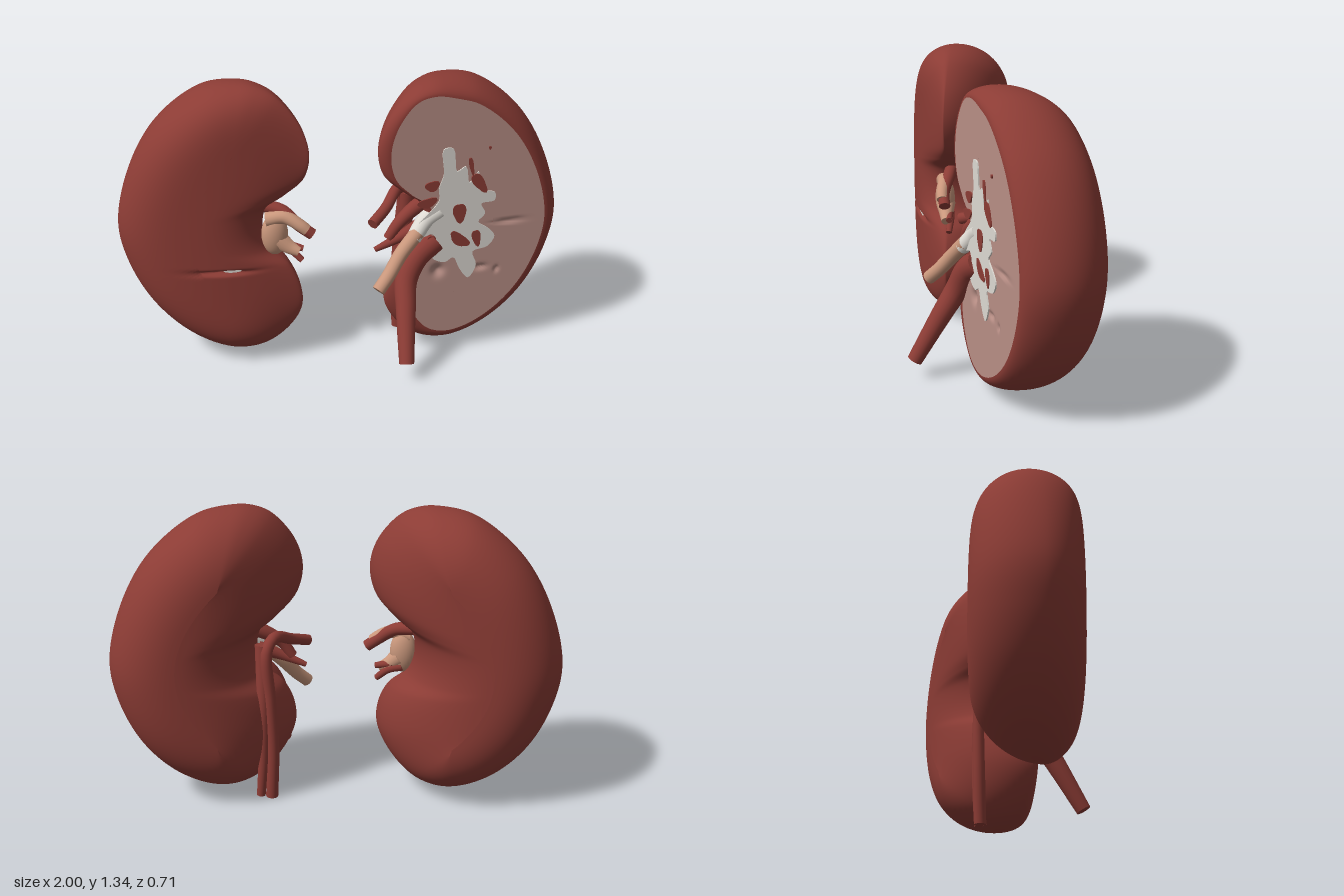
import * as THREE from 'three';

const { smoothstep } = THREE.MathUtils;
const mat = (name, color, side = THREE.FrontSide) => {
  const m = new THREE.MeshStandardMaterial({ color, side });
  m.name = name;
  return m;
};

// kidney outline (x, y), clockwise from the top, for the +x side
const OUTLINE = [
  [0.44, 1.34], [0.6, 1.31], [0.8, 1.155], [0.93, 0.94], [1.0, 0.67], [0.97, 0.48], [0.88, 0.29],
  [0.75, 0.15], [0.6, 0.065], [0.47, 0.04], [0.35, 0.07], [0.25, 0.16], [0.19, 0.28], [0.195, 0.39],
  [0.24, 0.49], [0.325, 0.57], [0.355, 0.67], [0.335, 0.775], [0.25, 0.845], [0.175, 0.925],
  [0.15, 1.04], [0.185, 1.17], [0.28, 1.29], [0.36, 1.33]];
const CY = 0.67, SEG = 300;

// every rim point shrinks toward its own point on a curved spine
const rim = new THREE.CatmullRomCurve3(OUTLINE.map(([x, y]) => new THREE.Vector3(x, y, 0)), true)
  .getPoints(SEG).slice(0, SEG).map(({ x, y }) => {
    const sy = CY + 0.55 * (y - CY), sx = 0.68 - 1.4 * (sy - CY) ** 2;
    const cut = 0.765 + 0.125 * smoothstep(y, 0.4, 0.6) * (1 - smoothstep(x, 0.25, 0.55));
    return { x, y, sx, sy, cut };
  });

// depth rules
const midZ = x => -0.1 + 0.2 * ((1 - x) / 0.85) ** 2;
const cutZ = x => 0.152 - 0.11 * x;
const domeZ = x => (x > 0.5 ? 0.14 - 0.35 * (x - 0.5) ** 2 : 0.14 - 0.1 * (0.5 - x) ** 2);
const dent = (list, x, y) => list.reduce((sum, [cx, cy, rx, ry, d]) =>
  sum + d * Math.exp(-(((x - cx) / rx) ** 2) - ((y - cy) / ry) ** 2), 0);

// lofts shrunken copies of the outline; each ring is [scale rule, z rule]
function loft(rings, side) {
  const pos = [], index = [];
  rings.forEach(([scale, zRule]) => rim.forEach(p => {
    const s = scale(p), x = p.sx + (p.x - p.sx) * s, y = p.sy + (p.y - p.sy) * s;
    pos.push(side * x, y, zRule(x, y));
  }));
  for (let i = 0; i < rings.length - 1; i++) for (let j = 0; j < SEG; j++) {
    const k = (j + 1) % SEG;
    const a = i * SEG + j, b = i * SEG + k, c = b + SEG, d = a + SEG;
    if (side > 0) index.push(a, d, b, b, d, c);
    else index.push(a, b, d, b, c, d);
  }
  const g = new THREE.BufferGeometry();
  g.setAttribute('position', new THREE.Float32BufferAttribute(pos, 3));
  g.setIndex(index);
  g.computeVertexNormals();
  return g;
}

// rounded back, from the spine out to the rim
function backRings() {
  const rings = [];
  for (let i = 0; i <= 24; i++) {
    const a = i / 24 * Math.PI / 2;
    rings.push([() => Math.sin(a) ** 0.91, x => midZ(x) - 0.275 * Math.cos(a)]);
  }
  return rings;
}

export function createModel() {
  const model = new THREE.Group();
  const red = mat('kidney red', 0x8c3c35, THREE.DoubleSide);
  const pink = mat('cut flesh', 0xb98f86);
  const pale = mat('pelvis white', 0xdedad3, THREE.DoubleSide);
  const beige = mat('ureter beige', 0xc9977c, THREE.DoubleSide);

  const add = (parent, name, geometry, material) => {
    const m = new THREE.Mesh(geometry, material);
    m.name = name;
    parent.add(m);
    return m;
  };

  // tapered vessel with closed ends
  const vessel = (parent, name, pts, r0, r1, material) => {
    const curve = new THREE.CatmullRomCurve3(pts.map(p => new THREE.Vector3(...p)));
    const n = 40, sides = 18;
    const g = new THREE.TubeGeometry(curve, n, 1, sides);
    const v = new THREE.Vector3(), p = g.attributes.position;
    for (let i = 0; i < p.count; i++) {
      const t = Math.floor(i / (sides + 1)) / n, c = curve.getPointAt(t);
      v.fromBufferAttribute(p, i).sub(c).multiplyScalar(r0 + (r1 - r0) * t).add(c);
      p.setXYZ(i, v.x, v.y, v.z);
    }
    add(parent, name, g, material);
    [[0, r0, -1], [1, r1, 1]].forEach(([t, r, dir]) => {
      const cap = add(parent, name + 'End', new THREE.CircleGeometry(r, sides), material);
      cap.position.copy(curve.getPointAt(t));
      cap.lookAt(cap.position.clone().addScaledVector(curve.getTangentAt(t), dir));
    });
  };

  // ---- whole kidney (-x side) ----
  const whole = new THREE.Group();
  whole.name = 'wholeKidney';
  const slit = [[0.55, 0.5, 0.12, 0.01, 0.025]];
  const dome = backRings();
  for (let i = 1; i <= 44; i++) {
    const s = 1 - (i / 44) ** 1.6, h = Math.sqrt(1 - s ** 4);
    dome.push([() => s, (x, y) => midZ(x) + (domeZ(x) - midZ(x)) * h - dent(slit, x, y)]);
  }
  add(whole, 'wholeBody', loft(dome, -1), red);
  const spot = add(whole, 'slitSpot', new THREE.CircleGeometry(1, 20), pale);
  spot.scale.set(0.04, 0.009, 1);
  spot.position.set(-0.5, 0.51, 0.134);
  const funnel = add(whole, 'ureterFunnel', new THREE.SphereGeometry(1, 28, 20), beige);
  funnel.scale.set(0.06, 0.1, 0.045);
  funnel.position.set(-0.305, 0.645, 0.06);
  vessel(whole, 'ureterBranch', [[-0.34, 0.72, 0.06], [-0.26, 0.735, 0.075], [-0.19, 0.7, 0.1], [-0.165, 0.68, 0.105]], 0.034, 0.026, beige);
  vessel(whole, 'lowerUreter', [[-0.29, 0.62, 0.06], [-0.24, 0.58, 0.07], [-0.2, 0.56, 0.08]], 0.045, 0.022, beige);
  vessel(whole, 'upperArtery', [[-0.35, 0.77, 0.02], [-0.27, 0.755, 0.05], [-0.2, 0.7, 0.09], [-0.14, 0.655, 0.1]], 0.03, 0.026, red);
  vessel(whole, 'lowerArtery', [[-0.3, 0.58, 0.04], [-0.24, 0.56, 0.05], [-0.185, 0.51, 0.07]], 0.022, 0.014, red);
  vessel(whole, 'smallArtery', [[-0.26, 0.59, 0.05], [-0.22, 0.58, 0.06], [-0.18, 0.57, 0.07]], 0.02, 0.014, red);
  model.add(whole);

  // ---- cut kidney (+x side) ----
  const cut = new THREE.Group();
  cut.name = 'cutKidney';
  const shell = backRings();
  for (let i = 1; i <= 12; i++) {
    const a = i / 12 * Math.PI / 2;
    shell.push([p => p.cut + (1 - p.cut) * Math.cos(a), x => midZ(x) + (cutZ(x) - midZ(x)) * Math.sin(a)]);
  }
  add(cut, 'cutShell', loft(shell, 1), red);
  const pits = [[0.76, 0.655, 0.06, 0.007, 0.015], [0.43, 0.435, 0.025, 0.028, 0.02],
    [0.63, 0.43, 0.03, 0.012, 0.014], [0.71, 0.41, 0.012, 0.012, 0.012]];
  const face = [];
  for (let i = 0; i <= 36; i++) face.push([p => p.cut * (1 - i / 36), (x, y) => cutZ(x) - dent(pits, x, y)]);
  add(cut, 'cutFace', loft(face, 1), pink);

  // thin plates lying on the cut face
  const plate = (name, pts, lift, material) => {
    const c = new THREE.CatmullRomCurve3(pts.map(([x, y]) => new THREE.Vector3(x, y, 0)), true, 'centripetal');
    const shape = new THREE.Shape(c.getPoints(pts.length * 4).map(q => new THREE.Vector2(q.x, q.y)));
    const g = new THREE.ExtrudeGeometry(shape, { depth: 0.006, bevelEnabled: false });
    const p = g.attributes.position;
    for (let i = 0; i < p.count; i++) p.setZ(i, p.getZ(i) + cutZ(p.getX(i)) + lift);
    g.computeVertexNormals();
    add(cut, name, g, material);
  };
  plate('renalPelvis', [
    [0.435, 1.04], [0.48, 1.04], [0.5, 0.93], [0.54, 0.95], [0.56, 0.87], [0.6, 0.92], [0.605, 0.83],
    [0.68, 0.81], [0.68, 0.77], [0.62, 0.76], [0.64, 0.71], [0.61, 0.67], [0.66, 0.63], [0.69, 0.59],
    [0.66, 0.54], [0.59, 0.52], [0.61, 0.45], [0.575, 0.385], [0.53, 0.44], [0.5, 0.5], [0.46, 0.48],
    [0.4, 0.51], [0.41, 0.57], [0.4, 0.63], [0.33, 0.61], [0.29, 0.62], [0.34, 0.7], [0.4, 0.76],
    [0.425, 0.8], [0.42, 0.85], [0.44, 0.92]], 0, pale);
  // red hollows between the branches: [x, y, rx, ry, tilt]
  [[0.52, 0.725, 0.03, 0.048, 0.1], [0.525, 0.59, 0.055, 0.026, -0.7], [0.605, 0.59, 0.02, 0.042, 0.2],
    [0.39, 0.87, 0.033, 0.024, 0.2], [0.37, 0.79, 0.045, 0.022, 0.2], [0.605, 0.865, 0.024, 0.055, 0.6],
    [0.565, 0.95, 0.01, 0.045, 0.2], [0.395, 0.59, 0.02, 0.035, 0], [0.645, 1.03, 0.006, 0.008, 0]]
    .forEach(([x, y, rx, ry, tilt]) => {
      const pts = [];
      for (let i = 0; i < 12; i++) {
        const a = i / 6 * Math.PI, r = 1 + 0.12 * Math.sin(3 * a);
        const u = rx * r * Math.cos(a), w = ry * r * Math.sin(a);
        pts.push([x + u * Math.cos(tilt) - w * Math.sin(tilt), y + u * Math.sin(tilt) + w * Math.cos(tilt)]);
      }
      plate('hollow', pts, 0.003, red);
    });

  // vessels of the cut kidney
  vessel(cut, 'pelvisNeck', [[0.43, 0.73, 0.07], [0.37, 0.69, 0.085], [0.31, 0.62, 0.125]], 0.045, 0.034, pale);
  vessel(cut, 'ureter', [[0.33, 0.645, 0.115], [0.25, 0.56, 0.155], [0.19, 0.48, 0.2], [0.14, 0.425, 0.235]], 0.034, 0.03, beige);
  vessel(cut, 'vein', [[0.41, 0.58, 0.07], [0.33, 0.52, 0.105], [0.28, 0.42, 0.14], [0.27, 0.3, 0.21], [0.26, 0.09, 0.33]], 0.062, 0.034, red);
  vessel(cut, 'artery', [[0.13, 0.685, 0.09], [0.2, 0.72, 0.01], [0.27, 0.765, -0.1], [0.3, 0.72, -0.145],
    [0.29, 0.5, -0.155], [0.28, 0.25, -0.15], [0.29, 0.005, -0.14]], 0.025, 0.028, red);
  vessel(cut, 'backVein', [[0.32, 0.74, -0.12], [0.32, 0.45, -0.15], [0.325, 0.2, -0.15], [0.34, 0.01, -0.14]], 0.035, 0.02, red);
  vessel(cut, 'hilumArtery', [[0.42, 0.78, 0.03], [0.33, 0.74, 0.05], [0.25, 0.68, 0.08], [0.2, 0.61, 0.09]], 0.04, 0.022, red);
  vessel(cut, 'smallArtery', [[0.36, 0.66, 0.06], [0.25, 0.61, 0.09], [0.14, 0.56, 0.1]], 0.035, 0.012, red);
  model.add(cut);

  return model;
}
